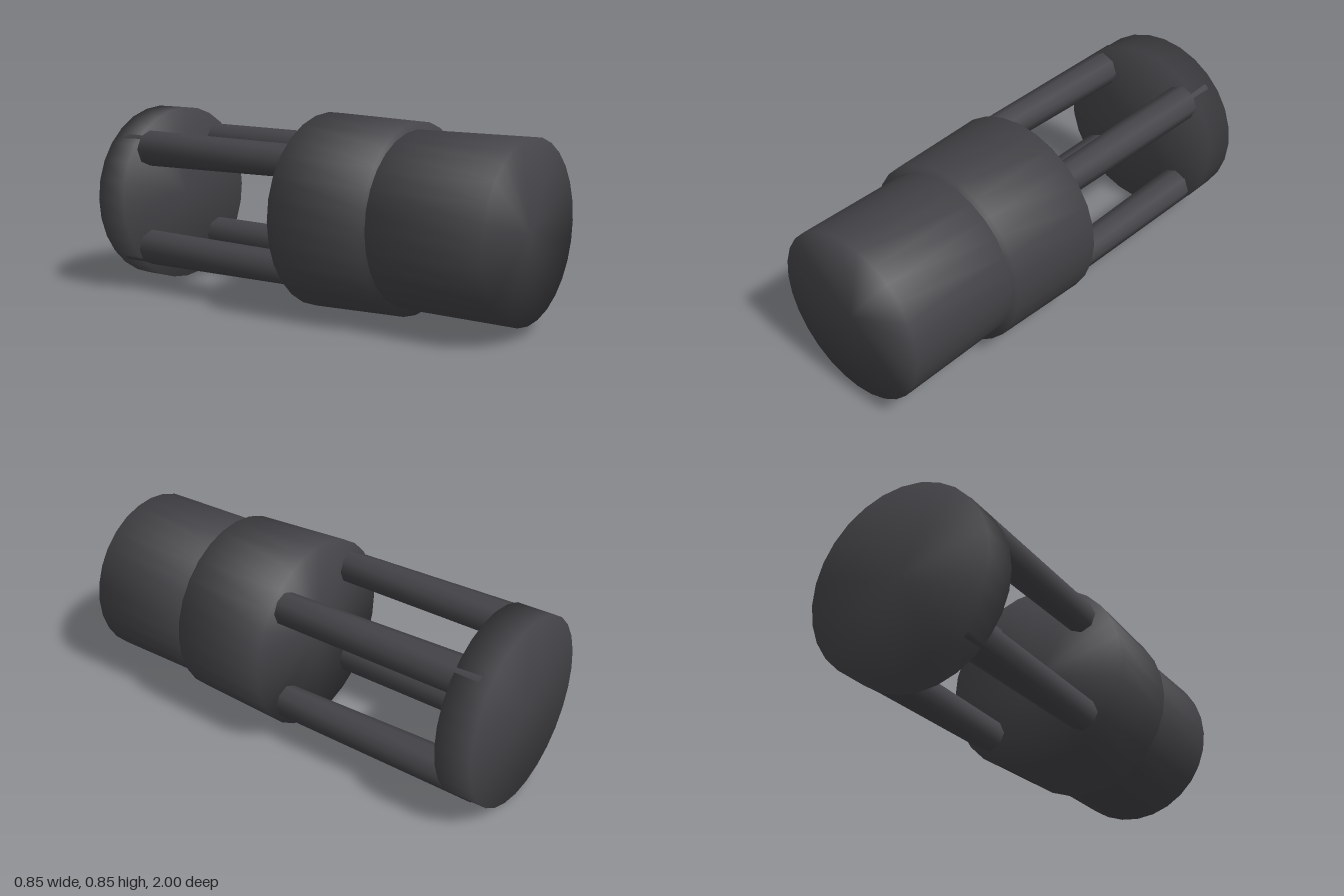
import * as THREE from 'three';
import { mergeVertices } from 'three/addons/utils/BufferGeometryUtils.js';

const AXIS_Y = 0.428;

// Cylinder along z whose normals blend smoothly over the rim
function softCylinder(frontRadius, backRadius, frontZ, backZ, sides) {
  let geo = new THREE.CylinderGeometry(frontRadius, backRadius, frontZ - backZ, sides);
  geo.rotateX(Math.PI / 2);
  geo.translate(0, 0, (frontZ + backZ) / 2);
  geo.deleteAttribute('normal');
  geo.deleteAttribute('uv');
  geo = mergeVertices(geo, 1e-4);
  geo.computeVertexNormals();
  return geo;
}

export function createModel() {
  const model = new THREE.Group();
  model.name = 'cylinderAssembly';
  const charcoal = new THREE.MeshStandardMaterial({ color: 0x444347 });
  charcoal.name = 'charcoal';

  function add(name, geometry, x = 0, y = 0) {
    const mesh = new THREE.Mesh(geometry, charcoal);
    mesh.name = name;
    mesh.position.set(x, AXIS_Y + y, 0);
    model.add(mesh);
  }

  // Front barrel, flared collar and rear end plate
  add('frontBarrel', softCylinder(0.375, 0.375, 1, 0.46, 28));
  add('collar', softCylinder(0.408, 0.425, 0.475, 0.02, 28));
  add('endPlate', softCylinder(0.408, 0.408, -0.84, -1, 28));

  // Four tapered rods joining the collar to the end plate
  const rod = softCylinder(0.071, 0.083, 0.06, -0.95, 8);
  for (const [sideName, x] of [['left', 1], ['right', -1]]) {
    for (const [levelName, y] of [['Upper', 1], ['Lower', -1]]) {
      add(sideName + levelName + 'Rod', rod, x * 0.232, y * 0.232);
    }
  }
  return model;
}
